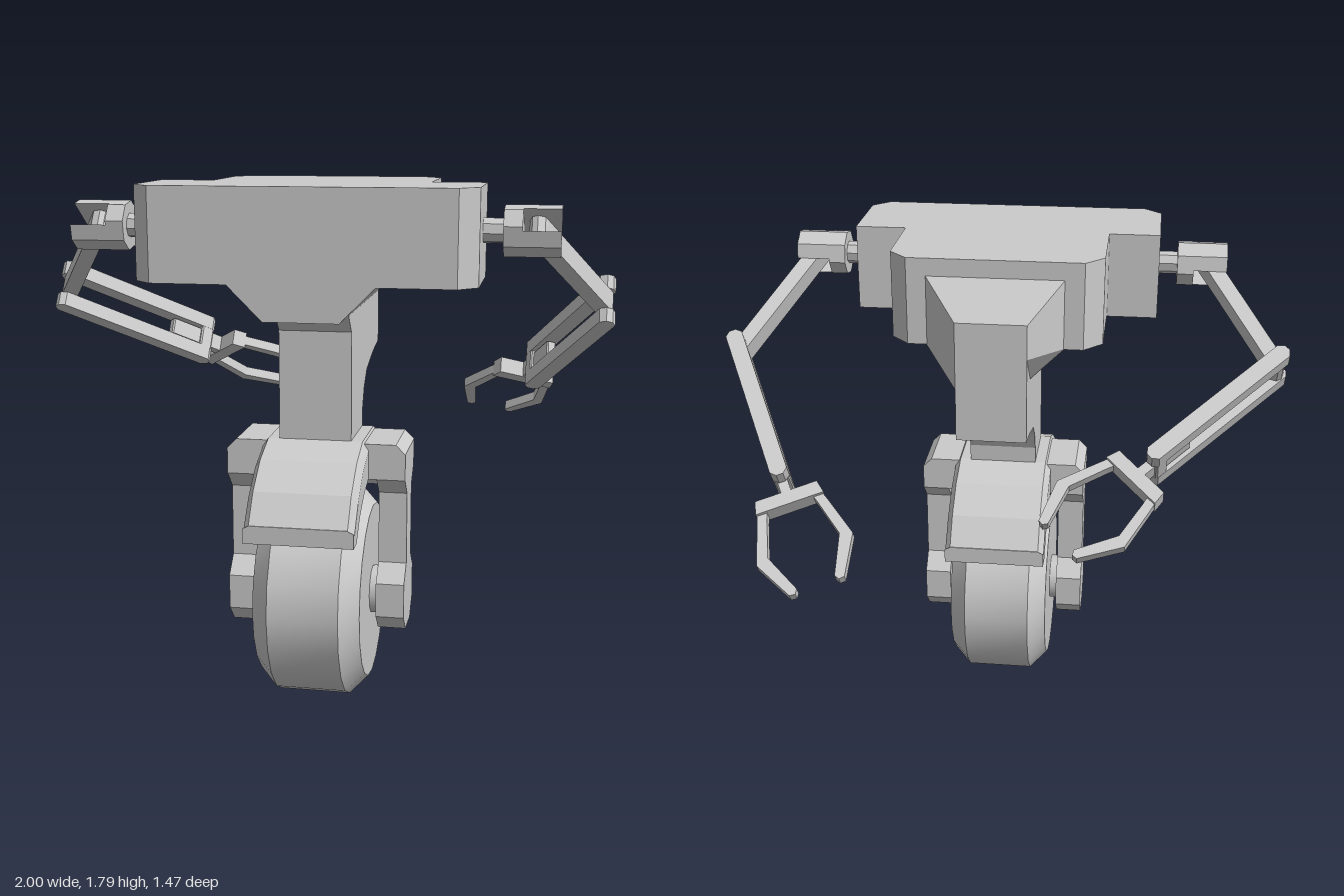
import * as THREE from 'three';
import { toCreasedNormals } from 'three/addons/utils/BufferGeometryUtils.js';

const CX = 0.016; // the body sits slightly off the origin
const WHEEL_Z = 0.3, WHEEL_Y = 0.37;
const flat = new THREE.MeshStandardMaterial({ color: 0xcccccc, flatShading: true });
const smooth = new THREE.MeshStandardMaterial({ color: 0xcccccc });

function add(parent, name, geometry, material = flat) {
  const mesh = new THREE.Mesh(geometry, material);
  mesh.name = name;
  parent.add(mesh);
  return mesh;
}

// Extrude an outline, centred on its depth
function slab(points, depth) {
  const shape = new THREE.Shape(points.map(([x, y]) => new THREE.Vector2(x, y)));
  return new THREE.ExtrudeGeometry(shape, { depth, bevelEnabled: false }).translate(0, 0, -depth / 2);
}
const flatSlab = (points, depth) => slab(points, depth).rotateX(-Math.PI / 2); // thickness along y
const sideSlab = (points, depth) => slab(points, depth).rotateY(-Math.PI / 2); // outline in (z, y)

// Mirror a half outline (right side, in order) across x = 0
const mirrored = half => [...half, ...half.map(([x, y]) => [-x, y]).reverse()];

// Join closed rings of equal point count and cap both ends
function loft(rings) {
  const n = rings[0].length, index = [];
  for (let r = 0; r < rings.length - 1; r++) {
    for (let i = 0; i < n; i++) {
      const a = r * n + i, b = r * n + (i + 1) % n;
      index.push(a, b, b + n, a, b + n, a + n);
    }
  }
  const last = (rings.length - 1) * n;
  for (let i = 1; i < n - 1; i++) index.push(0, i + 1, i, last, last + i, last + i + 1);
  const geometry = new THREE.BufferGeometry();
  geometry.setAttribute('position', new THREE.Float32BufferAttribute(rings.flat(2), 3));
  geometry.setIndex(index);
  const result = geometry.toNonIndexed();
  result.computeVertexNormals();
  return result;
}

// Bar along x from a to b with clipped corners, lying in the arm plane
function bar(a, b, width, thickness, clip = 0.018) {
  const h = width / 2;
  return flatSlab([[a + clip, -h], [b - clip, -h], [b, -h + clip], [b, h - clip],
    [b - clip, h], [a + clip, h], [a, h - clip], [a, -h + clip]], thickness);
}

function buildBody(root) {
  const body = new THREE.Group();
  body.name = 'body';
  root.add(body);

  // Stepped housing with clipped corners
  const plan = mirrored([[0.49, -0.665], [0.551, -0.604], [0.551, -0.295], [0.369, -0.295], [0.369, 0.005], [0.305, 0.075]]);
  add(body, 'housing', flatSlab(plan, 0.307)).position.y = 1.632;

  // Tapered keel under the housing
  add(body, 'keel', slab(mirrored([[0.123, 1.363], [0.242, 1.482]]), 0.737)).position.z = 0.2965;

  // Tapered hump on the back
  const ring = (z, w, top) => [[w, top], [-w, top], [-w, 1.48], [-0.123, 1.363], [0.123, 1.363], [w, 1.48]]
    .map(([x, y]) => [x, y, z]);
  add(body, 'backHump', loft([ring(-0.197, 0.123, 1.602), ring(-0.07, 0.242, 1.728)]));

  // Neck, swept back below the hump
  add(body, 'neck', sideSlab([[0.48, 1.365], [0.42, 1.3], [0.42, 0.9], [0.178, 0.9], [0.175, 0.99], [0.14, 1.06],
    [0.08, 1.115], [-0.07, 1.155], [-0.197, 1.175], [-0.197, 1.365]], 0.246));
}

function buildWheel(root) {
  const wheel = new THREE.Group();
  wheel.name = 'wheelAssembly';
  wheel.position.z = WHEEL_Z;
  root.add(wheel);

  // Tyre and axle
  const profile = [[0, -0.182], [0.305, -0.182], [0.37, -0.12], [0.37, 0.12], [0.305, 0.182], [0, 0.182]]
    .map(([r, y]) => new THREE.Vector2(r, y));
  const tyre = new THREE.LatheGeometry(profile, 20).rotateZ(Math.PI / 2).rotateX(Math.PI / 20 * 2);
  add(wheel, 'tyre', toCreasedNormals(tyre, 0.4), smooth).position.y = WHEEL_Y;
  add(wheel, 'axle', new THREE.CylinderGeometry(0.085, 0.085, 0.46, 12).rotateZ(Math.PI / 2), smooth).position.y = WHEEL_Y;

  // Fork: crossbar and two legs
  add(wheel, 'forkCrossbar', slab(mirrored([[0.307, 0.8], [0.307, 0.89], [0.275, 0.922]]), 0.242));
  const leg = mirrored([[0.06, 0.25], [0.121, 0.311], [0.121, 0.43], [0.06, 0.49], [0.06, 0.74], [0.121, 0.8]]);
  for (const side of [-1, 1]) add(wheel, 'forkLeg', sideSlab(leg, 0.097)).position.x = side * 0.2585;

  // Fender: each station lists outer, edge and inner points as z, y
  const half = [
    [0.12, 0.93, 0.12, 0.9, 0.12, 0.8],
    [0.245, 0.886, 0.235, 0.855, 0.215, 0.77],
    [0.354, 0.805, 0.335, 0.78, 0.3, 0.72],
    [0.425, 0.71, 0.41, 0.69, 0.365, 0.65],
    [0.428, 0.71, 0.428, 0.7, 0.428, 0.65],
  ];
  const back = half.map(([a, b, c, d, e, f]) => [-a, b, -c, d, -e, f]).reverse();
  const rings = [...back, ...half].map(([oz, oy, mz, my, iz, iy]) => [
    [0.162, oy, oz], [-0.162, oy, oz], [-0.182, my, mz], [-0.182, iy, iz], [0.182, iy, iz], [0.182, my, mz]]);
  add(wheel, 'fender', loft(rings));
}

// Arms lie in one tilted plane: x sideways, -z along the reach, y is thickness
function buildArm(root, name, side, elbow, wrist) {
  const arm = new THREE.Group();
  arm.name = name;
  arm.position.set(0, 1.643, 0.45);
  arm.rotation.x = -0.611;
  root.add(arm);
  const shoulder = [side * 0.725, 0];

  // Shoulder pin and slotted octagonal bracket
  add(arm, 'shoulderPin', new THREE.CylinderGeometry(0.041, 0.041, 0.16, 8).rotateZ(Math.PI / 2)).position.x = side * 0.57;
  const octagon = mirrored([[0.031, -0.077], [0.077, -0.031], [0.077, 0.031], [0.031, 0.077]]);
  add(arm, 'shoulderBracket', sideSlab(octagon, 0.06)).position.x = side * 0.647;
  for (const s of [-1, 1]) {
    const prong = mirrored([[0.068, s * 0.04], [0.031, s * 0.077]]);
    add(arm, 'bracketProng', sideSlab(prong, 0.12)).position.x = side * 0.737;
  }

  // Group whose x axis runs from one joint to the next
  const link = (label, from, to) => {
    const group = new THREE.Group();
    group.name = label;
    group.position.set(from[0], 0, -from[1]);
    group.rotation.y = Math.atan2(to[1] - from[1], to[0] - from[0]);
    arm.add(group);
    return [group, Math.hypot(to[0] - from[0], to[1] - from[1])];
  };

  const [upper, upperLength] = link('upperArm', shoulder, elbow);
  add(upper, 'upperArmBar', bar(-0.03, upperLength + 0.025, 0.055, 0.076));

  // Forearm: two rails with a wrist block between them
  const [fore, reach] = link('forearm', elbow, wrist);
  for (const s of [-1, 1]) add(fore, 'forearmRail', bar(-0.04, reach - 0.06, 0.06, 0.052)).position.y = s * 0.064;
  add(fore, 'wristBlock', bar(reach - 0.12, reach - 0.07, 0.058, 0.078, 0.005));
  add(fore, 'wristBar', bar(reach - 0.24, reach, 0.035, 0.06, 0.005));

  // Hand: palm bar and two hooked claws
  const hand = new THREE.Group();
  hand.name = 'hand';
  hand.position.x = reach;
  fore.add(hand);
  add(hand, 'palm', flatSlab([[-0.025, -0.11], [0.025, -0.12], [0.025, 0.12], [-0.025, 0.11]], 0.062));
  const claw = [[0, 0.075], [0.05, 0.09], [0.19, 0.125], [0.335, 0.065], [0.352, 0.075], [0.35, 0.095], [0.205, 0.168], [0.05, 0.125], [0, 0.11]];
  for (const s of [-1, 1]) add(hand, 'claw', flatSlab(claw.map(([x, y]) => [x, s * y]), 0.036));
}

export function createModel() {
  const root = new THREE.Group();
  root.name = 'robot';
  root.position.x = CX;
  buildBody(root);
  buildWheel(root);
  buildArm(root, 'leftArm', 1, [0.947, 0.48], [0.664, 1.08]);
  buildArm(root, 'rightArm', -1, [-0.977, 0.455], [-0.506, 0.93]);
  const model = new THREE.Group();
  model.name = 'wheeledRobot';
  model.add(root);
  return model;
}
